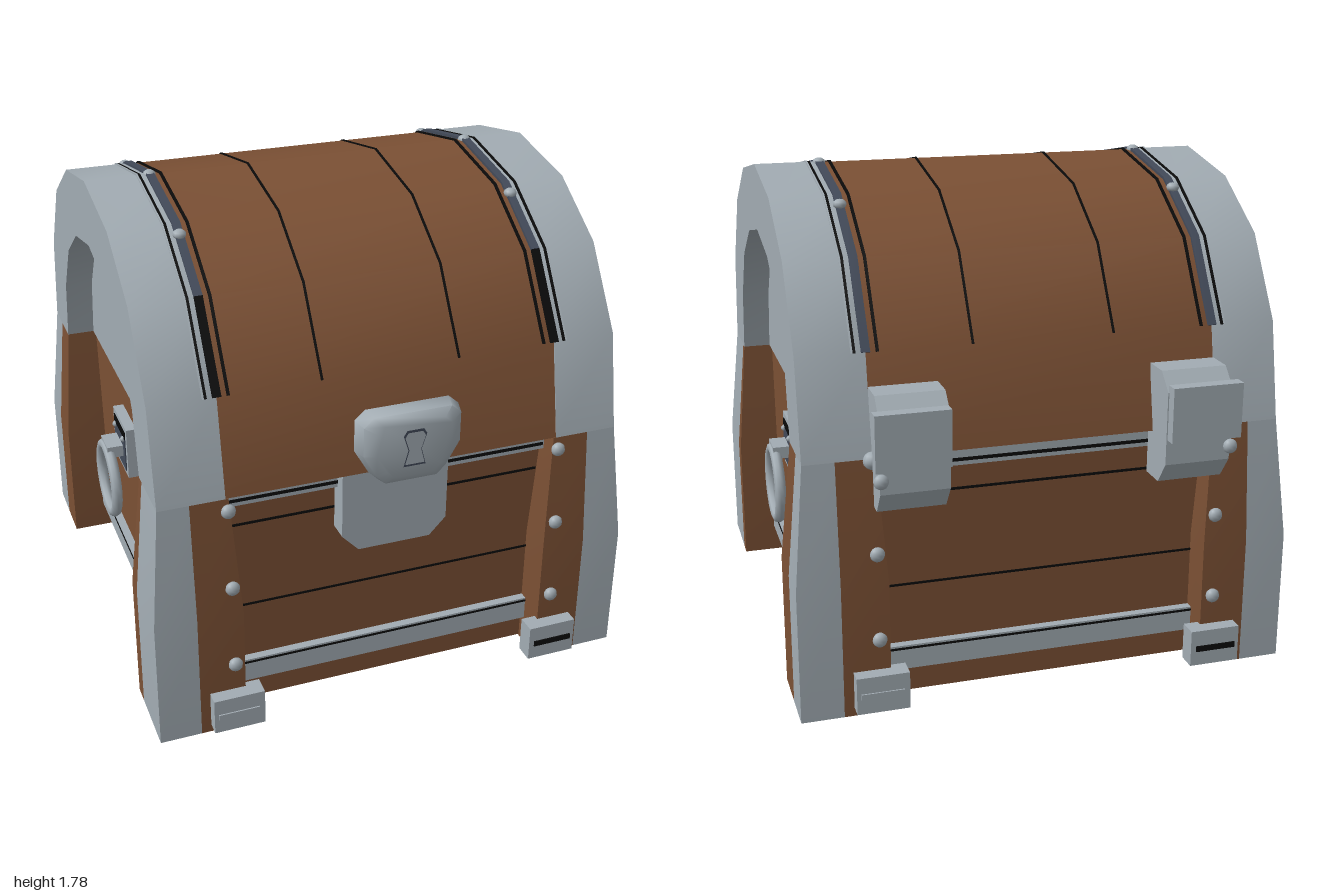
import * as THREE from 'three';
import { toCreasedNormals, mergeVertices } from 'three/addons/utils/BufferGeometryUtils.js';

const mat = (name, color) => {
  const m = new THREE.MeshStandardMaterial({ color });
  m.name = name;
  return m;
};

export function createModel() {
  const wood = mat('wood brown', 0x7b5034);
  const iron = mat('light iron', 0xa2acb3);
  const slate = mat('dark iron', 0x424a59);
  const black = mat('black', 0x0a0a0a);
  const chest = new THREE.Group();
  chest.name = 'chest';

  const add = (name, geo, material, x = 0, y = 0, z = 0) => {
    const m = new THREE.Mesh(geo, material);
    m.name = name;
    m.position.set(x, y, z);
    chest.add(m);
    return m;
  };
  // Box given by its limits
  const box = (name, material, x0, x1, y0, y1, z0, z1) =>
    add(name, new THREE.BoxGeometry(x1 - x0, y1 - y0, z1 - z0), material,
      (x0 + x1) / 2, (y0 + y1) / 2, (z0 + z1) / 2);
  const shapeOf = pts => new THREE.Shape(pts.map(p => new THREE.Vector2(p[0], p[1])));
  // Extrude a (z, y) outline along x from x0 to x1
  const alongX = (pts, x0, x1, crease = 0.6) => {
    const g = new THREE.ExtrudeGeometry(shapeOf(pts.map(([z, y]) => [-z, y])),
      { depth: x1 - x0, bevelEnabled: false });
    g.rotateY(Math.PI / 2).translate(x0, 0, 0);
    return toCreasedNormals(g, crease);
  };

  // ---- Lid ----
  const BASE = 0.915;
  const arch = [[0.857, BASE], [0.788, 1.26], [0.604, 1.54], [0.35, 1.705], [0.005, 1.77],
    [-0.34, 1.705], [-0.6, 1.54], [-0.776, 1.26], [-0.844, BASE]];
  const innerArch = [[0.62, BASE], [0.575, 1.15], [0.45, 1.35], [0.25, 1.48], [0.005, 1.53],
    [-0.24, 1.48], [-0.43, 1.35], [-0.56, 1.15], [-0.605, BASE]];
  const grow = (pts, f) => pts.map(([z, y]) => [z * f, BASE + (y - BASE) * f]);

  add('lidBarrel', alongX(grow(arch, 0.997), -0.63, 0.63), wood);
  for (const s of [-1, 1]) {
    const span = (a, b) => (s > 0 ? [a, b] : [-b, -a]);
    add('lidEndBand', alongX([...arch, ...innerArch.slice().reverse()], ...span(0.615, 0.85)), iron);
    add('lidEndPanel', alongX(grow(innerArch, 1.02), ...span(0.6, 0.745)), iron);
  }

  // Ribbon that follows the arch from point i to point j
  const ribbon = (name, material, x, w, lift, i, j) => {
    const part = arch.slice(i, j + 1);
    add(name, alongX([...grow(part, 1 + lift), ...grow(part, 0.985).reverse()], x - w / 2, x + w / 2), material);
  };
  for (const s of [-1, 1]) {
    ribbon('lidSeam', black, s * 0.25, 0.008, 0.002, 1, 7);
    ribbon('lidStrapEdge', black, s * 0.575, 0.01, 0.004, 1, 7);
    ribbon('lidStrapEdge', black, s * 0.653, 0.01, 0.004, 1, 7);
    ribbon('lidStrapRim', iron, s * 0.661, 0.006, 0.006, 1, 7);
    ribbon('lidStrap', slate, s * 0.615, 0.03, 0.009, 2, 7);
    ribbon('lidStrapEnd', black, s * 0.615, 0.03, 0.009, 1, 2);
    for (const [y, z] of [[1.69, 0.395], [1.775, 0], [1.69, -0.395]])
      add('lidRivet', new THREE.SphereGeometry(0.024, 10, 6), iron, s * 0.615, y - 0.008, z).scale.y = 0.75;
  }

  // ---- Body ----
  const PANEL = 0.77;
  box('bodyBox', wood, -0.735, 0.735, 0.005, BASE, -PANEL, PANEL);

  // Tapered post block; each limit is [bottom, top], bending at mid height
  const postBlock = (name, material, sx, sz, xi, xo, zi, zo) => {
    const g = new THREE.BoxGeometry(1, 1, 1, 1, 2, 1);
    const p = g.attributes.position;
    const at = (lim, row) => lim[row === 2 ? 1 : 0];
    for (let k = 0; k < p.count; k++) {
      const row = Math.round((p.getY(k) + 0.5) * 2);
      const x = at(p.getX(k) * sx > 0 ? xo : xi, row);
      const z = at(p.getZ(k) * sz > 0 ? zo : zi, row);
      p.setXYZ(k, x * sx, [0, 0.48, BASE][row], z * sz);
    }
    add(name, toCreasedNormals(g, 0.5), material);
  };
  for (const sx of [-1, 1]) for (const sz of [-1, 1]) {
    const split = sz > 0 ? 0.655 : 0.73;
    const xOut = [0.89, 0.85], zOut = sz > 0 ? [0.9, 0.857] : [0.885, 0.844];
    const zIn = sz > 0 ? [0.588, 0.62] : [0.568, 0.605];
    postBlock('cornerIron', iron, sx, sz, [0.74, 0.74], xOut, [split, split], zOut);
    postBlock('cornerWoodFace', wood, sx, sz, [0.575, 0.605], [0.74, 0.74], [split, split], zOut);
    postBlock('cornerWoodSide', wood, sx, sz, [0.575, 0.605], xOut, zIn, [split, split]);

    // Foot clip with slot, and the rivets above it
    const zc = sz > 0 ? 0.915 : 0.9;
    box('footClip', iron, sx * 0.6125 - 0.0925, sx * 0.6125 + 0.0925, 0.03, 0.165, sz * zc - 0.035, sz * zc + 0.035);
    box('footClipSlot', sx * sz > 0 ? black : iron, sx * 0.615 - 0.075, sx * 0.615 + 0.075, 0.085, 0.106,
      sz * (zc + 0.036) - 0.004, sz * (zc + 0.036) + 0.004);
    const rivets = sz > 0 ? [[0.88, 0.88], [0.59, 0.905], [0.28, 0.915]]
      : [[0.88, 0.97], [0.59, 0.885], [0.28, 0.895]];
    for (const [y, z] of rivets)
      add('postRivet', new THREE.SphereGeometry(0.026, 10, 8), iron, sx * 0.613, y, sz * z).scale.z = 0.75;
  }

  // Trim strips and plank seams on front and back, each standing out by d
  for (const s of [-1, 1]) {
    const strip = (name, m, w, y0, y1, d) => {
      const a = s * (PANEL - 0.02), b = s * (PANEL + d);
      box(name, m, -w, w, y0, y1, Math.min(a, b), Math.max(a, b));
    };
    strip('upperTrim', iron, 0.6, 0.845, 0.9, 0.03);
    strip('upperTrimGroove', black, 0.595, 0.86, 0.872, 0.032);
    strip('lowerTrim', iron, 0.58, 0.105, 0.195, 0.03);
    strip('lowerTrimGroove', black, 0.575, 0.18, 0.188, 0.032);
    strip('plankSeam', black, 0.59, 0.746, 0.755, 0.003);
    strip('plankSeam', black, 0.585, 0.411, 0.419, 0.003);
  }

  // ---- Sides: trim and ring handles ----
  for (const s of [-1, 1]) {
    const plate = (name, m, x, y0, y1, z0, z1) =>
      box(name, m, Math.min(s * 0.72, s * x), Math.max(s * 0.72, s * x), y0, y1, z0, z1);
    plate('sideTrim', iron, 0.765, 0.108, 0.198, -0.575, 0.59);
    plate('sideTrimGroove', black, 0.767, 0.184, 0.192, -0.57, 0.585);
    plate('handlePlate', iron, 0.775, 0.595, 0.8, -0.138, 0.078);
    plate('handlePlateInset', slate, 0.779, 0.615, 0.75, -0.115, 0.055);
    plate('handlePlateSlot', black, 0.779, 0.75, 0.78, -0.115, 0.055);
    plate('handleBracket', iron, 0.84, 0.665, 0.71, -0.085, 0.025);
    for (const z of [-0.095, 0.035])
      add('handleRivet', new THREE.SphereGeometry(0.012, 8, 6), iron, s * 0.779, 0.745, z);
    add('handleRing', new THREE.TorusGeometry(0.135, 0.021, 8, 24), iron, s * 0.83, 0.55, -0.03).rotation.y = Math.PI / 2;
  }

  // ---- Front lock ----
  const hasp = new THREE.ExtrudeGeometry(shapeOf([[-0.197, 0.67], [-0.135, 0.605], [0.135, 0.605],
    [0.197, 0.67], [0.197, 0.915], [-0.197, 0.915]]), { depth: 0.09, bevelEnabled: false });
  add('lockPlate', hasp, iron, 0, 0, 0.758);

  // Latch: rounded outline narrowing toward the front
  const outline = [[-0.1, 0.925], [0.1, 0.925], [0.135, 0.96], [0.187, 1.05], [0.187, 1.165], [0.15, 1.198],
    [-0.15, 1.198], [-0.187, 1.165], [-0.187, 1.05], [-0.135, 0.96]];
  const latch = new THREE.ExtrudeGeometry(shapeOf(outline), { depth: 1, steps: 2, bevelEnabled: false });
  const lp = latch.attributes.position;
  for (let k = 0; k < lp.count; k++) {
    const step = Math.round(lp.getZ(k) * 2), f = [1, 0.93, 0.72][step];
    lp.setXYZ(k, lp.getX(k) * f, 1.07 + (lp.getY(k) - 1.07) * f, [0.922, 0.975, 0.996][step]);
  }
  latch.deleteAttribute('normal');
  latch.deleteAttribute('uv');
  add('latch', toCreasedNormals(mergeVertices(latch), 0.9), iron);
  // Keyhole plate with a thin dark edge
  const key = f => shapeOf([[-0.04, 1.0], [-0.024, 1.06], [-0.042, 1.115], [-0.03, 1.135], [0.03, 1.135],
    [0.042, 1.115], [0.024, 1.06], [0.04, 1.0]].map(([x, y]) => [x * f, 1.067 + (y - 1.067) * f]));
  add('keyholeEdge', new THREE.ShapeGeometry(key(1)), slate, 0, 0, 0.998);
  add('keyhole', new THREE.ShapeGeometry(key(0.88)), iron, 0, 0, 1.0);

  // ---- Back hinges ----
  const hinge = [[-0.8, 1.15], [-0.9, 1.15], [-0.96, 1.09], [-0.96, 0.83], [-0.9, 0.75], [-0.8, 0.75]];
  for (const s of [-1, 1]) {
    add('hingeBlock', alongX(hinge, s * 0.497 - 0.118, s * 0.497 + 0.118, 0.2), iron);
    box('hingePlate', iron, s * 0.51 - 0.127, s * 0.51 + 0.127, 0.92, 1.115, -1.0, -0.955);
    add('hingePin', new THREE.SphereGeometry(0.03, 10, 8), iron, s * 0.62, 0.915, -0.86);
  }
  return chest;
}
